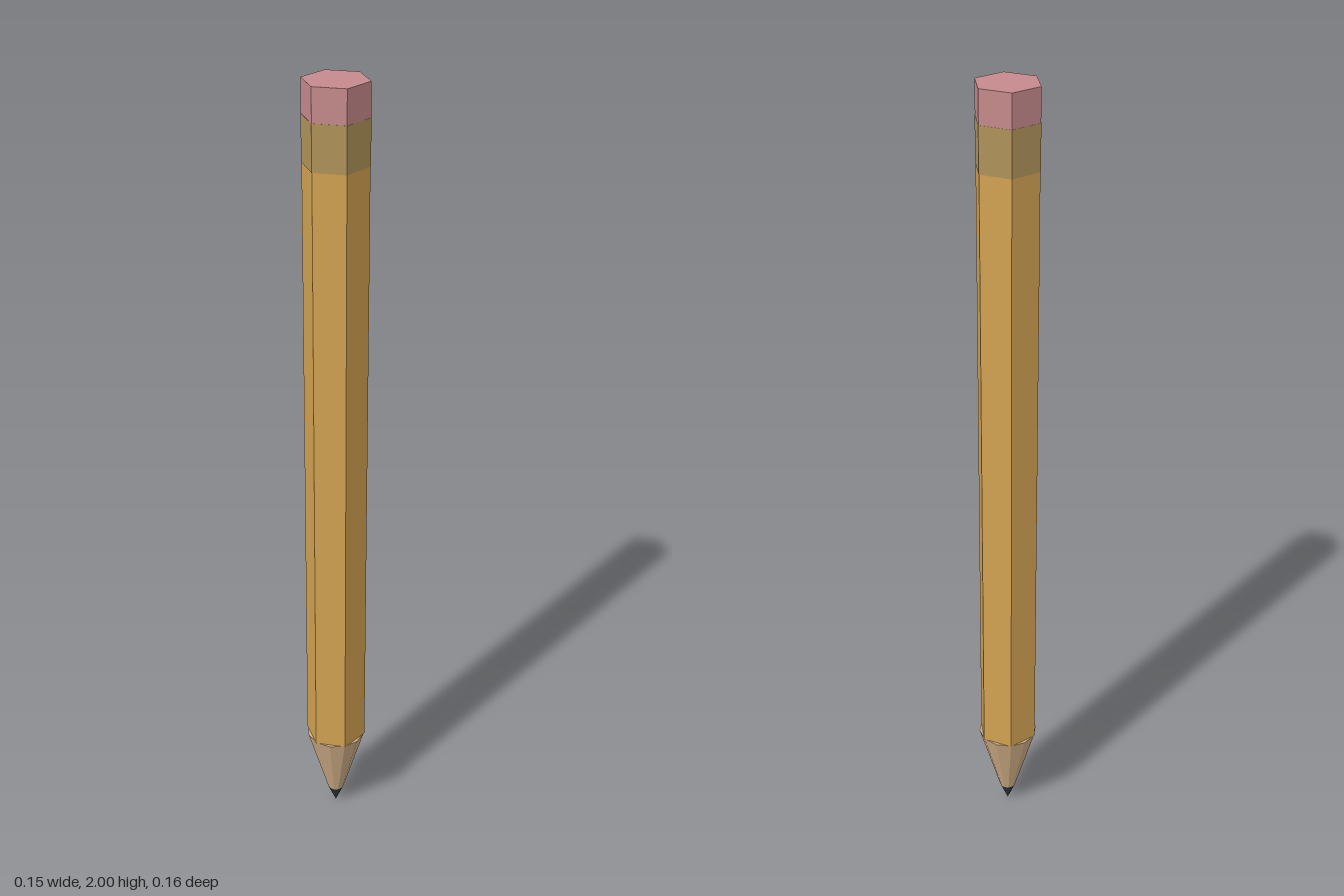
import * as THREE from 'three';

// Faceted tapered prism spanning y0..y1
function prism(name, color, y0, y1, bottomR, topR, sides) {
  const material = new THREE.MeshStandardMaterial({ color, flatShading: true });
  const geometry = new THREE.CylinderGeometry(topR, bottomR, y1 - y0, sides);
  const mesh = new THREE.Mesh(geometry, material);
  mesh.position.y = (y0 + y1) / 2;
  mesh.name = name;
  return mesh;
}

export function createModel() {
  const pencil = new THREE.Group();
  pencil.name = 'pencil';
  pencil.add(
    // Pointed end: twelve-sided lead and sharpened wood
    prism('leadTip', 0x2c3a40, 0, 0.05, 0, 0.021, 12),
    prism('sharpenedWood', 0xd0ae86, 0.05, 0.24, 0.021, 0.076, 12),
    // Hexagonal shaft, band and eraser, corners towards front and back
    prism('shaft', 0xd2a252, 0.24, 1.81, 0.078, 0.078, 6),
    prism('ferrule', 0xb0935a, 1.81, 1.92, 0.079, 0.079, 6),
    prism('eraser', 0xc68a8c, 1.92, 2, 0.0785, 0.0785, 6),
  );
  return pencil;
}
